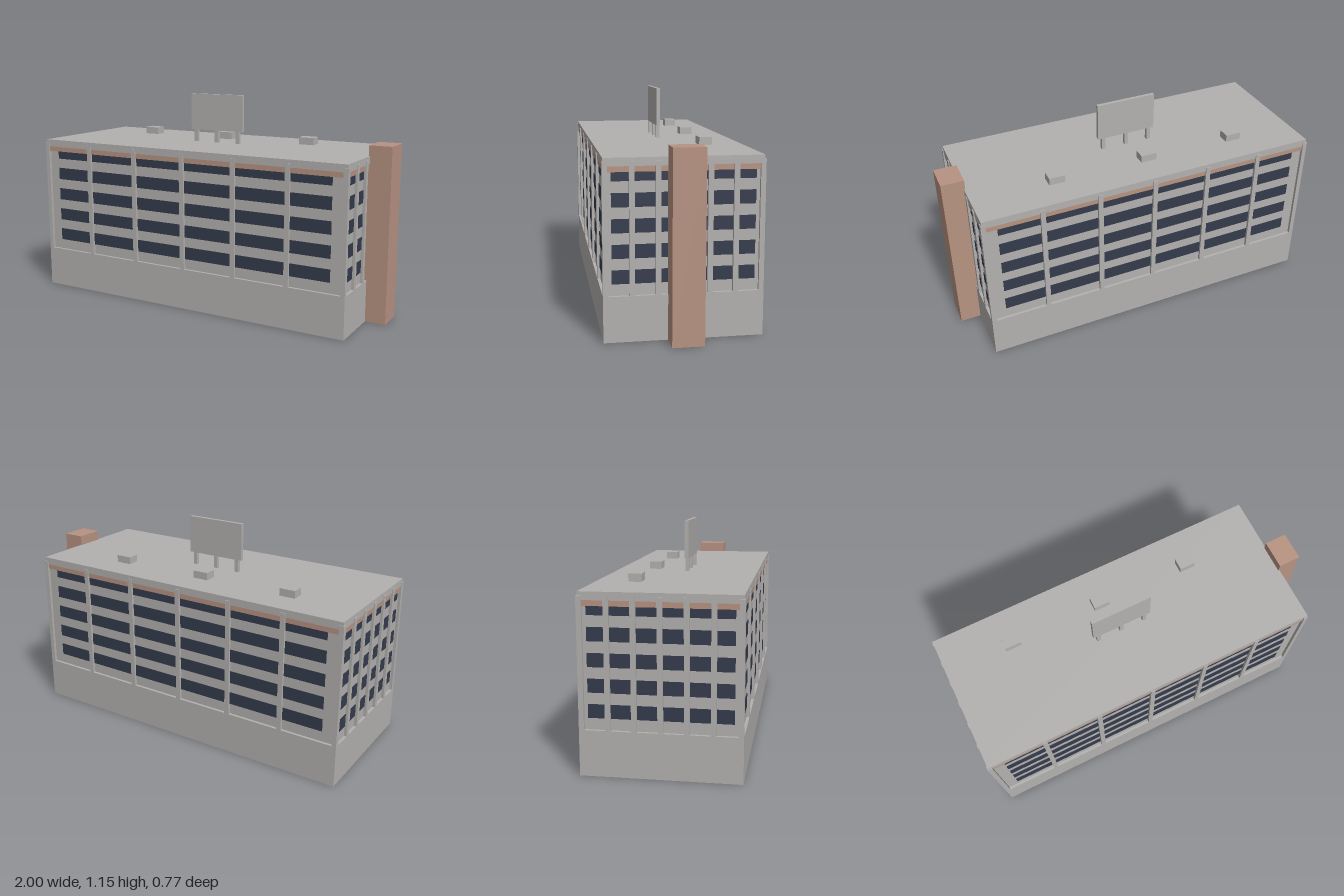
import * as THREE from 'three';

const concrete = new THREE.MeshStandardMaterial({ color: 0xb3b1af });
concrete.name = 'concrete grey';
const brick = new THREE.MeshStandardMaterial({ color: 0xb79382 });
brick.name = 'brick';
const glass = new THREE.MeshStandardMaterial({ color: 0x353b4d });
glass.name = 'dark glass';

// Box given by its limits on each axis
function box(parent, name, material, [x0, x1], [y0, y1], [z0, z1]) {
  const mesh = new THREE.Mesh(new THREE.BoxGeometry(x1 - x0, y1 - y0, z1 - z0), material);
  mesh.position.set((x0 + x1) / 2, (y0 + y1) / 2, (z0 + z1) / 2);
  mesh.name = name;
  parent.add(mesh);
  return mesh;
}

const HX = 0.945, HZ = 0.387;      // half length and half depth of the block
const BASE = 0.225, EAVES = 0.862; // height of the plinth and of the piers
const CORNER = 0.025, RECESS = 0.015;

// One facade facing +z, centred on x = 0, with its outer plane at z = 0
function facade(name, half, windowHalf, pitch, pierWidth) {
  const group = new THREE.Group();
  group.name = name;
  const inner = half - CORNER;
  const back = -RECESS - 0.002;

  // ribbon windows
  for (let i = 0; i < 5; i++) {
    const y = 0.282 + i * 0.122;
    box(group, 'ribbonWindow', glass, [-windowHalf, windowHalf], [y, y + 0.067], [back, -RECESS + 0.003]);
  }
  // brick band and lintel under the roof
  box(group, 'brickBand', brick, [-inner, inner], [0.813, 0.84], [back, -0.007]);
  box(group, 'lintel', concrete, [-inner, inner], [0.84, EAVES], [back, -0.005]);
  // piers between the six bays
  for (let i = -2; i <= 2; i++) {
    box(group, 'pier', concrete, [i * pitch - pierWidth / 2, i * pitch + pierWidth / 2], [BASE, EAVES], [back, 0]);
  }
  return group;
}

export function createModel() {
  const model = new THREE.Group();
  model.name = 'officeBlock';

  // main block, centred on its own axis and shifted to make room for the tower
  const block = new THREE.Group();
  block.name = 'block';
  block.position.x = -0.055;
  model.add(block);

  box(block, 'base', concrete, [-HX, HX], [0, BASE], [-HZ, HZ]);
  box(block, 'wallCore', concrete, [-HX + RECESS, HX - RECESS], [BASE, EAVES], [-HZ + RECESS, HZ - RECESS]);
  box(block, 'roofSlab', concrete, [-HX + 0.005, HX - 0.005], [EAVES, 0.88], [-HZ + 0.005, HZ - 0.005]);

  // corner piers
  for (const sx of [-1, 1]) {
    for (const sz of [-1, 1]) {
      const corner = box(block, 'cornerPier', concrete, [0, CORNER], [BASE, EAVES], [0, CORNER]);
      corner.position.x = sx * (HX - CORNER / 2);
      corner.position.z = sz * (HZ - CORNER / 2);
    }
  }

  // four facades
  const front = facade('frontFacade', HX, 0.86, 0.3125, 0.026);
  front.position.z = HZ;
  const rear = facade('backFacade', HX, 0.86, 0.3125, 0.026);
  rear.position.z = -HZ;
  rear.rotation.y = Math.PI;
  const left = facade('leftFacade', HZ, 0.344, 0.124, 0.026);
  left.position.x = HX;
  left.rotation.y = Math.PI / 2;
  const right = facade('rightFacade', HZ, 0.344, 0.124, 0.026);
  right.position.x = -HX;
  right.rotation.y = -Math.PI / 2;
  block.add(front, rear, left, right);

  // brick stair tower at one end
  box(model, 'stairTower', brick, [0.878, 1], [0, 0.935], [-0.078, 0.078]);

  // roof vents
  for (const x of [-0.615, -0.093, 0.43]) {
    box(model, 'roofVent', concrete, [x - 0.044, x + 0.044], [0.88, 0.92], [-0.22, -0.154]);
  }

  // blank board on posts
  const board = new THREE.Group();
  board.name = 'roofBoard';
  model.add(board);
  box(board, 'panel', concrete, [-0.22, 0.113], [0.948, 1.153], [-0.01, 0.01]);
  for (const x of [-0.19, -0.055, 0.08]) {
    box(board, 'post', concrete, [x - 0.011, x + 0.011], [0.88, 0.948], [-0.01, 0.01]);
  }
  return model;
}
